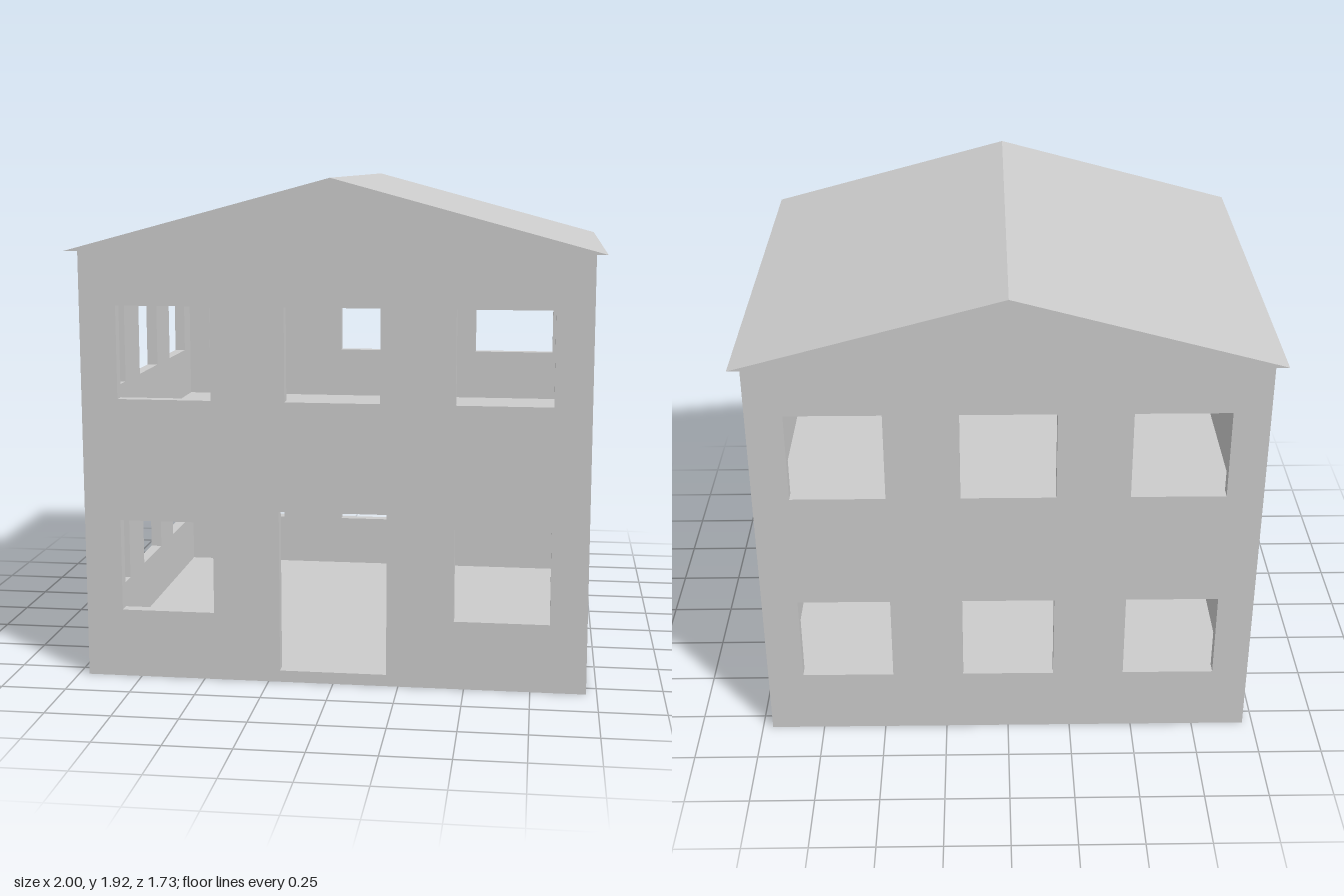
import * as THREE from 'three';

const W = 1.92, D = 1.64, H = 1.65, T = 0.045; // wall footprint, height, thickness
const STOREY = H / 2;
const SILL = 0.265, WIN_H = 0.355;

const material = new THREE.MeshStandardMaterial({ color: 0xcccccc, flatShading: true });

function rect(PathType, x0, y0, x1, y1) {
  const p = new PathType();
  p.moveTo(x0, y0);
  p.lineTo(x1, y0);
  p.lineTo(x1, y1);
  p.lineTo(x0, y1);
  p.closePath();
  return p;
}

function addMesh(group, name, geometry) {
  const mesh = new THREE.Mesh(geometry, material);
  mesh.name = name;
  group.add(mesh);
  return mesh;
}

// Wall panel with three windows per storey; optionally a door in the middle below
function wallGeometry(width, spacing, winW, hasDoor) {
  const shape = rect(THREE.Shape, -width / 2, 0, width / 2, H);
  for (let floor = 0; floor < 2; floor++) {
    for (let i = -1; i <= 1; i++) {
      if (hasDoor && floor === 0 && i === 0) {
        shape.holes.push(rect(THREE.Path, -0.205, T, 0.205, 0.67));
        continue;
      }
      const x = i * spacing, y = SILL + floor * STOREY;
      shape.holes.push(rect(THREE.Path, x - winW / 2, y, x + winW / 2, y + WIN_H));
    }
  }
  return new THREE.ExtrudeGeometry(shape, { depth: T, bevelEnabled: false });
}

export function createModel() {
  const house = new THREE.Group();
  house.name = 'house';

  // Front and back walls span the full width
  addMesh(house, 'frontWall', wallGeometry(W, 0.64, 0.36, true)).position.z = D / 2 - T;
  addMesh(house, 'backWall', wallGeometry(W, 0.64, 0.36, false)).position.z = -D / 2;

  // Side walls fit between them
  for (const side of [-1, 1]) {
    const wall = addMesh(house, side > 0 ? 'leftWall' : 'rightWall',
      wallGeometry(D - 2 * T, 0.515, 0.295, false));
    wall.rotation.y = side * Math.PI / 2;
    wall.position.x = side * (W / 2 - T);
  }

  // Floor slab of each storey
  ['groundFloor', 'upperFloor'].forEach((name, i) => {
    const slab = addMesh(house, name, new THREE.BoxGeometry(W - 2 * T, T, D - 2 * T));
    slab.position.y = i * STOREY + T / 2;
  });

  // Gabled roof with a slight overhang, ridge running front to back
  const gable = new THREE.Shape();
  gable.moveTo(-1, H);
  gable.lineTo(1, H);
  gable.lineTo(0, 1.92);
  gable.closePath();
  const roof = addMesh(house, 'roof',
    new THREE.ExtrudeGeometry(gable, { depth: 1.725, bevelEnabled: false }));
  roof.position.z = -1.725 / 2;

  return house;
}
